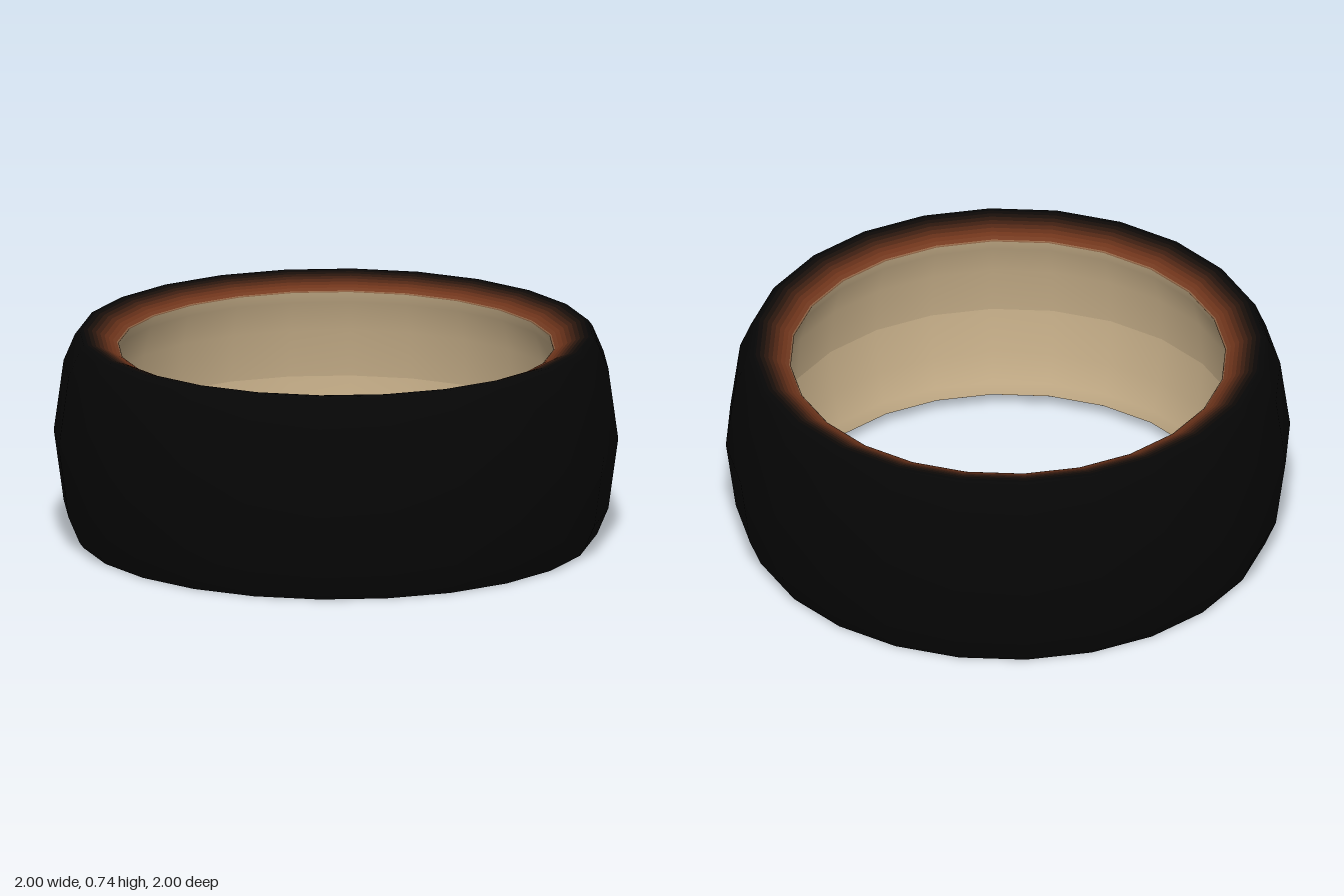
import * as THREE from 'three';

const HEIGHT = 0.74;
const SIDES = 24;
const LINING = 0xc8b08a;
const BLACK = 0x060606;

// Lower half of the ring's cross-section, from hollowed inner wall to outer wall:
// [radius, height, colour of the strip that starts here]
const HALF = [
  [0.83, 0.37, LINING],
  [0.815, 0.2, LINING],
  [0.785, 0.09, LINING],
  [0.77, 0.05, 0x9a6d4c],
  [0.776, 0.046, 0x743a20],
  [0.79, 0.038, 0x6e341b],
  [0.805, 0.031, 0x622e18],
  [0.82, 0.024, 0x502614],
  [0.835, 0.017, 0x3d1e11],
  [0.85, 0.011, 0x2a160d],
  [0.865, 0.006, 0x190f0a],
  [0.88, 0.002, 0x0d0907],
  [0.895, 0, BLACK],
  [0.91, 0, BLACK],
  [0.925, 0.02, BLACK],
  [0.965, 0.115, BLACK],
  [1.0, 0.37, BLACK],
];

export function createModel() {
  const group = new THREE.Group();
  group.name = 'ring';

  // Closed profile: lower half, then its mirror back to the inner wall
  const lower = HALF.map(([r, y]) => new THREE.Vector2(r, y));
  const upper = HALF.slice(0, -1).reverse().map(([r, y]) => new THREE.Vector2(r, HEIGHT - y));
  const profile = [...lower, ...upper];
  const band = new THREE.LatheGeometry(profile, SIDES);

  // Strip colours run symmetrically over both halves
  const half = HALF.slice(0, -1).map((p) => p[2]);
  const colors = [...half, ...half.slice().reverse()];
  const strips = profile.length - 1;

  // Gather the faces of each colour; all parts share the same smooth normals
  const faces = new Map();
  for (let i = 0; i < band.index.count; i++) {
    const color = colors[Math.floor(i / 6) % strips];
    if (!faces.has(color)) faces.set(color, []);
    faces.get(color).push(band.index.getX(i));
  }

  // Inner lining, shaded rims and outer band
  for (const [color, index] of faces) {
    const geometry = new THREE.BufferGeometry();
    geometry.setAttribute('position', band.attributes.position);
    geometry.setAttribute('normal', band.attributes.normal);
    geometry.setIndex(index);
    const mesh = new THREE.Mesh(geometry, new THREE.MeshStandardMaterial({ color }));
    mesh.name = color === LINING ? 'innerLining' : color === BLACK ? 'outerBand' : 'rimStrip';
    group.add(mesh);
  }
  return group;
}
